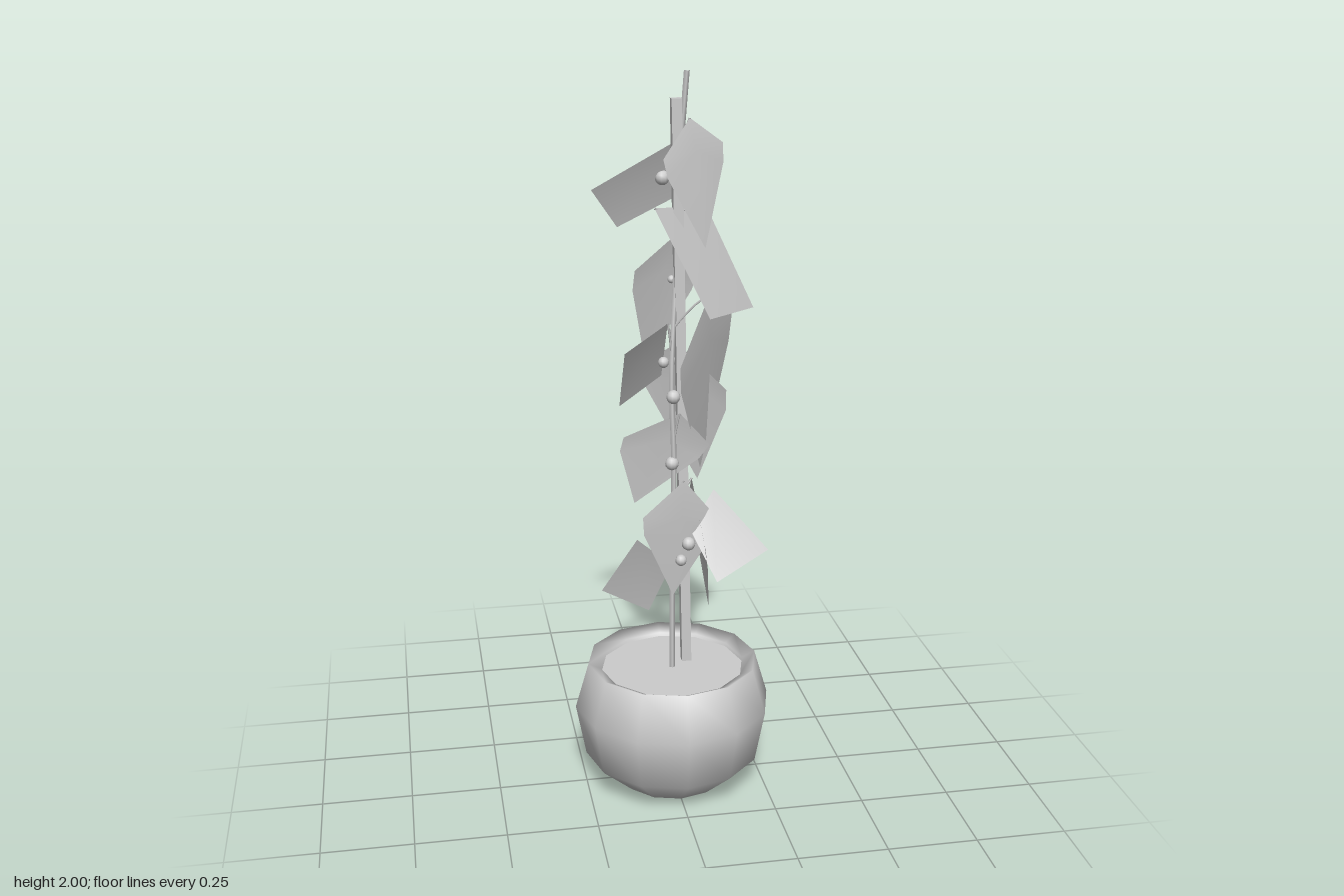
import * as THREE from 'three';

const V = (p) => new THREE.Vector3(...p);

export function createModel() {
  const model = new THREE.Group();
  const solid = new THREE.MeshStandardMaterial({ color: 0xcccccc });
  const thin = new THREE.MeshStandardMaterial({ color: 0xcccccc, side: THREE.DoubleSide });
  const faceted = new THREE.MeshStandardMaterial({ color: 0xcccccc, flatShading: true });

  const add = (name, geometry, material, parent = model) => {
    const mesh = new THREE.Mesh(geometry, material);
    mesh.name = name;
    parent.add(mesh);
    return mesh;
  };
  const group = (name) => {
    const g = new THREE.Group();
    g.name = name;
    model.add(g);
    return g;
  };

  // Twelve-sided round pot with a rim rolling in to the soil
  const profile = [[0, 0], [0.15, 0], [0.25, 0.09], [0.278, 0.24], [0.24, 0.37], [0.204, 0.352], [0.197, 0.3]];
  add('pot', new THREE.LatheGeometry(profile.map(([r, y]) => new THREE.Vector2(r, y)), 12), thin);

  // Soil disc inside the rim
  const soil = add('soil', new THREE.CircleGeometry(0.203, 12), faceted);
  soil.rotation.x = -Math.PI / 2;
  soil.position.y = 0.342;

  // Square support stake, leaning slightly
  const foot = V([0.048, 0.33, -0.04]);
  const head = V([0.018, 1.93, -0.045]);
  const stake = add('stake', new THREE.BoxGeometry(0.027, foot.distanceTo(head), 0.027), faceted);
  stake.position.copy(foot).lerp(head, 0.5);
  stake.quaternion.setFromUnitVectors(new THREE.Vector3(0, 1, 0), head.clone().sub(foot).normalize());

  // Climbing stem
  const stemPath = new THREE.CatmullRomCurve3([
    [0, 0.33, 0], [0, 0.6, 0], [0.005, 0.95, 0], [0, 1.2, -0.01],
    [0.02, 1.5, -0.05], [0.03, 1.75, -0.06], [0.038, 1.9, -0.045], [0.045, 2, -0.04],
  ].map(V));
  add('stem', new THREE.TubeGeometry(stemPath, 24, 0.008, 5), solid);

  // Leaves: base, tip, half-width vector, place of the shoulders along the midrib, full or kite-shaped
  const leaves = [
    [[0.053, 1.88, -0.037], [0.085, 1.55, 0.02], [0.092, 0.01, -0.07], 0.25, true],
    [[0.13, 1.71, -0.125], [-0.205, 1.7, -0.045], [0.075, 0.115, 0.025], 0.55, false],
    [[-0.05, 1.66, 0.02], [0.246, 1.355, -0.11], [0.015, 0.13, -0.105], 0.53, false],
    [[0.1, 1.42, 0], [0.088, 0.92, -0.05], [0.095, 0.04, -0.125], 0.25, true],
    [[-0.01, 1.345, -0.01], [-0.148, 1.135, 0.03], [-0.065, 0.06, 0.1], 0.5, false],
    [[0.03, 1.56, -0.12], [-0.05, 1.2, -0.135], [0.097, -0.015, -0.055], 0.27, true],
    [[0.03, 1.27, -0.09], [0.09, 0.87, -0.1], [0.105, -0.015, 0.088], 0.25, true],
    [[0.02, 1.1, 0.01], [-0.09, 0.81, -0.095], [0.105, 0.01, 0.08], 0.3, true],
    [[0.03, 0.91, 0.02], [0, 0.57, 0.015], [-0.11, 0.02, 0.035], 0.32, true],
    [[0.07, 0.88, -0.08], [0.105, 0.52, 0], [0, 0.045, -0.125], 0.33, true],
    [[0.05, 0.76, 0], [0.246, 0.73, 0.116], [0.0075, 0.112, -0.065], 0.33, false],
    [[0, 0.65, -0.01], [-0.18, 0.53, -0.14], [-0.02, 0.12, 0.025], 0.4, false],
  ];
  const foliage = group('foliage');
  for (const [b, t, s, at, full] of leaves) {
    const base = V(b), tip = V(t), side = V(s);
    const mid = base.clone().lerp(tip, at);
    // Raised midrib gives the blade a gentle fold
    const lift = tip.clone().sub(base).cross(side).normalize().multiplyScalar(0.008);
    if (lift.x * mid.x + lift.z * mid.z < 0) lift.negate();
    const low = base.clone().lerp(tip, at + 0.15);
    const edge = (sign) => [mid.clone().addScaledVector(side, sign),
      ...(full ? [low.clone().addScaledVector(side, 0.93 * sign)] : [])];
    const rim = [base, ...edge(1), tip, ...edge(-1).reverse()];
    const blade = new THREE.BufferGeometry().setFromPoints([mid.clone().add(lift), ...rim]);
    blade.setIndex(rim.flatMap((_, i) => [0, i + 1, ((i + 1) % rim.length) + 1]));
    blade.computeVertexNormals();
    add('leaf', blade, thin, foliage);

    // Leaf stalk rising from the stem
    const from = stemPath.getPointAt(THREE.MathUtils.clamp((base.y - 0.42) / 1.68, 0, 1));
    const bend = from.clone().lerp(base, 0.6).add(new THREE.Vector3(0, 0.02, 0));
    add('leafStalk', new THREE.TubeGeometry(new THREE.QuadraticBezierCurve3(from, bend, base), 6, 0.003, 4), solid, foliage);
  }

  // Small round berries along the stem
  const berries = group('berries');
  const berryShape = new THREE.SphereGeometry(1, 10, 8);
  for (const [x, y, z, r] of [
    [-0.01, 1.72, -0.09, 0.02], [0.02, 1.44, -0.12, 0.011], [-0.025, 1.245, 0.01, 0.015],
    [0, 1.15, 0.02, 0.019], [0, 0.955, 0, 0.019], [0.04, 0.73, 0.035, 0.019], [0.02, 0.68, 0.03, 0.016],
  ]) {
    const berry = add('berry', berryShape, solid, berries);
    berry.position.set(x, y, z);
    berry.scale.setScalar(r);
  }
  return model;
}
